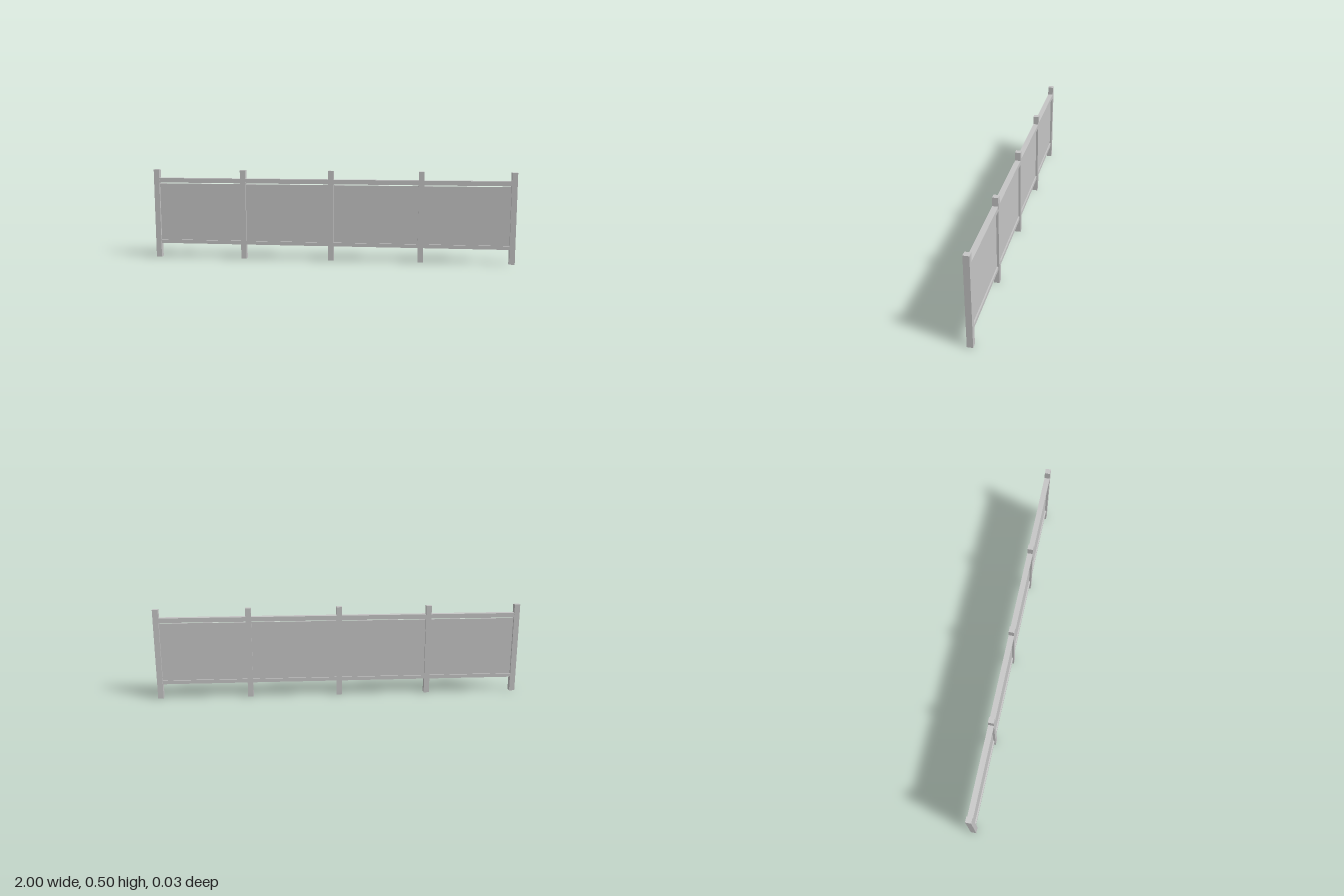
import * as THREE from 'three';

export function createModel() {
  const group = new THREE.Group();
  group.name = 'fence';
  const grey = new THREE.MeshStandardMaterial({ color: 0xc5c5c5 });
  grey.name = 'grey';

  const POST = 0.03, HEIGHT = 0.498, BAYS = 4;
  const spacing = (2 - POST) / BAYS;
  const span = spacing - POST;

  // Box placed by its centre x and its bottom and top heights
  function addBox(name, x, bottom, top, width, depth) {
    const mesh = new THREE.Mesh(new THREE.BoxGeometry(width, top - bottom, depth), grey);
    mesh.name = name;
    mesh.position.set(x, (bottom + top) / 2, 0);
    group.add(mesh);
  }

  // Square posts
  for (let i = 0; i <= BAYS; i++) {
    addBox('post', -1 + POST / 2 + i * spacing, 0, HEIGHT, POST, POST);
  }

  // Each bay: two rails and a thin panel, with a narrow gap under the top rail
  for (let i = 0; i < BAYS; i++) {
    const x = -1 + POST / 2 + (i + 0.5) * spacing;
    addBox('topRail', x, 0.426, 0.451, span, 0.029);
    addBox('bottomRail', x, 0.08, 0.1, span, 0.02);
    addBox('panel', x, 0.09, 0.42, span, 0.006);
  }
  return group;
}
